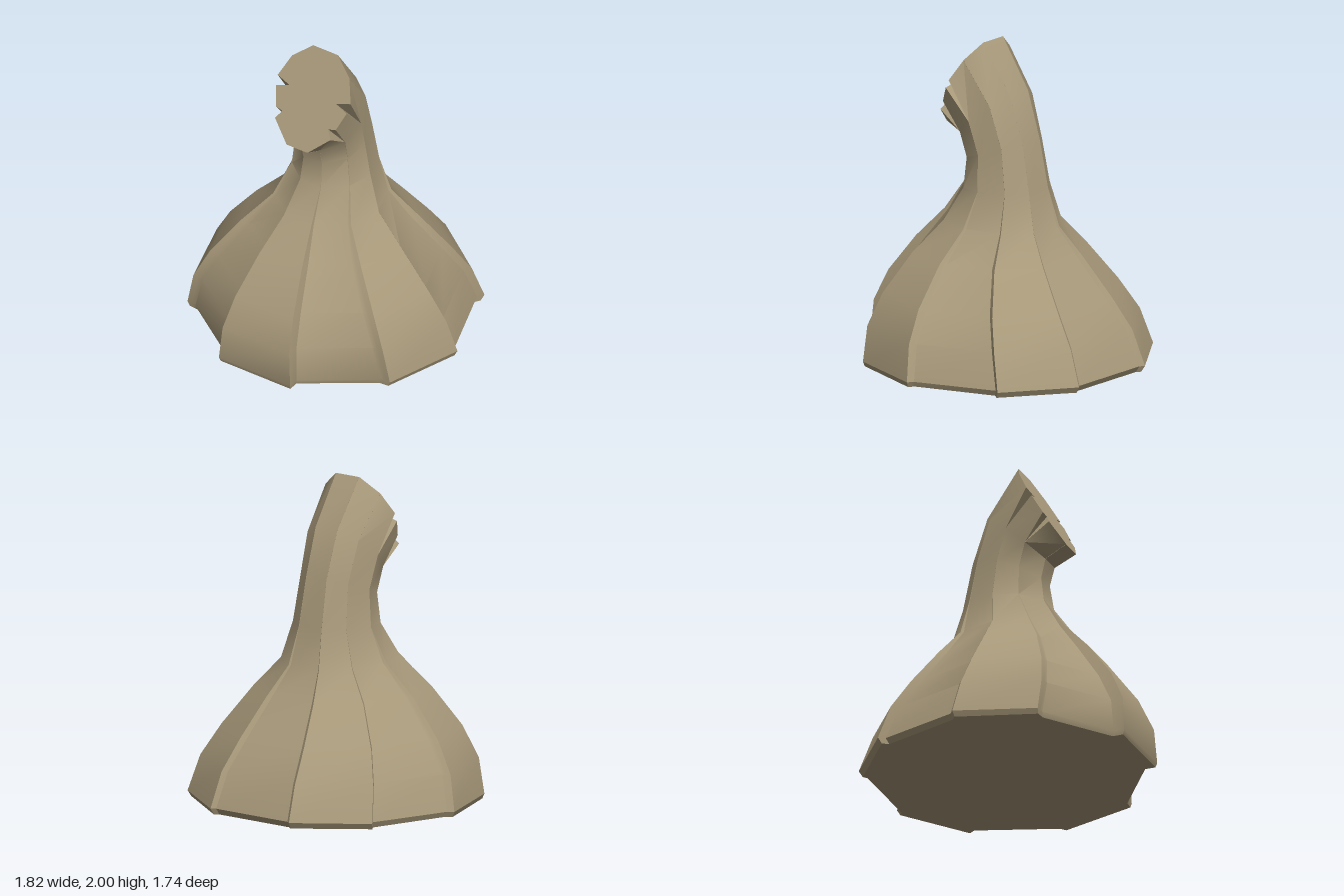
import * as THREE from 'three';
import { toCreasedNormals } from 'three/addons/utils/BufferGeometryUtils.js';

// Cross-sections: [front z, front y, back z, back y, half width, rib step]
const RINGS = [
  [0.86, 0.0, -0.845, 0.0, 0.89, 1],
  [0.87, 0.03, -0.87, 0.04, 0.908, 1],
  [0.855, 0.25, -0.785, 0.26, 0.85, 1.2],
  [0.765, 0.45, -0.65, 0.45, 0.735, 1.5],
  [0.59, 0.69, -0.47, 0.69, 0.54, 1.7],
  [0.405, 0.89, -0.335, 0.87, 0.35, 1],
  [0.265, 1.09, -0.27, 1.11, 0.262, 0.2],
  [0.24, 1.25, -0.21, 1.41, 0.235, 0.1],
  [0.27, 1.37, -0.11, 1.70, 0.25, 0.1],
  [0.41, 1.44, 0.10, 2.0, 0.27, 0.05],
];

// Rib corners from front to back: raised point and recessed point,
// each as [fraction of half width, fraction from back to front]
const CORNERS = [
  { high: [0.29, 1], low: [0.29, 0.96] },
  { high: [0.825, 0.787], low: [0.755, 0.79] },
  { high: [1, 0.5], low: [0.96, 0.485] },
  { high: [0.79, 0.172], low: [0.76, 0.195] },
  { high: [0.335, 0], low: [0.305, 0.012] },
];

// V notches in the cut end, replacing two of its corners
const NOTCHES = {
  1: [[0.76, 0.80], [0.63, 0.71], [0.82, 0.69]],
  2: [[0.97, 0.50], [0.63, 0.45], [1, 0.40]],
};

const mix = (a, b, t) => [a[0] + (b[0] - a[0]) * t, a[1] + (b[1] - a[1]) * t];

// Three points per corner on the left half, then mirrored
function ringPoints([fz, fy, bz, by, w, step], isCut) {
  const half = [];
  CORNERS.forEach(({ high, low }, i) => {
    if (isCut && NOTCHES[i]) { half.push(...NOTCHES[i]); return; }
    const inner = mix(high, low, step);
    const trio = [high, mix(high, inner, 0.5), inner];
    half.push(...(i % 2 ? trio.reverse() : trio));
  });
  const left = half.map(([x, s]) => new THREE.Vector3(x * w, by + (fy - by) * s, bz + (fz - bz) * s));
  const right = left.map((p) => new THREE.Vector3(-p.x, p.y, p.z)).reverse();
  return [...left, ...right];
}

function fromTriangles(points) {
  const geometry = new THREE.BufferGeometry().setFromPoints(points);
  geometry.computeVertexNormals();
  return geometry;
}

// Flat end made as a fan around its middle
function fan(ring, centre, up) {
  const tris = [];
  ring.forEach((p, j) => {
    const q = ring[(j + 1) % ring.length];
    tris.push(centre, up ? p : q, up ? q : p);
  });
  return fromTriangles(tris);
}

export function createModel() {
  const group = new THREE.Group();
  group.name = 'stem';
  const material = new THREE.MeshStandardMaterial({ color: 0xa8997a });
  material.name = 'dry tan';

  const add = (name, geometry) => {
    const mesh = new THREE.Mesh(geometry, material);
    mesh.name = name;
    group.add(mesh);
  };

  const rings = RINGS.map((r, i) => ringPoints(r, i === RINGS.length - 1));

  // Ribbed, bent body
  const wall = [];
  for (let i = 0; i < rings.length - 1; i++) {
    const lower = rings[i], upper = rings[i + 1], n = lower.length;
    for (let j = 0; j < n; j++) {
      const k = (j + 1) % n;
      wall.push(lower[j], lower[k], upper[k], lower[j], upper[k], upper[j]);
    }
  }
  add('ribbedBody', toCreasedNormals(fromTriangles(wall), 0.55));

  // Underside and slanted cut end
  const middle = ([fz, fy, bz, by]) => new THREE.Vector3(0, (fy + by) / 2, (fz + bz) / 2);
  add('underside', fan(rings[0], middle(RINGS[0]), false));
  add('cutEnd', fan(rings.at(-1), middle(RINGS.at(-1)), true));

  return group;
}
